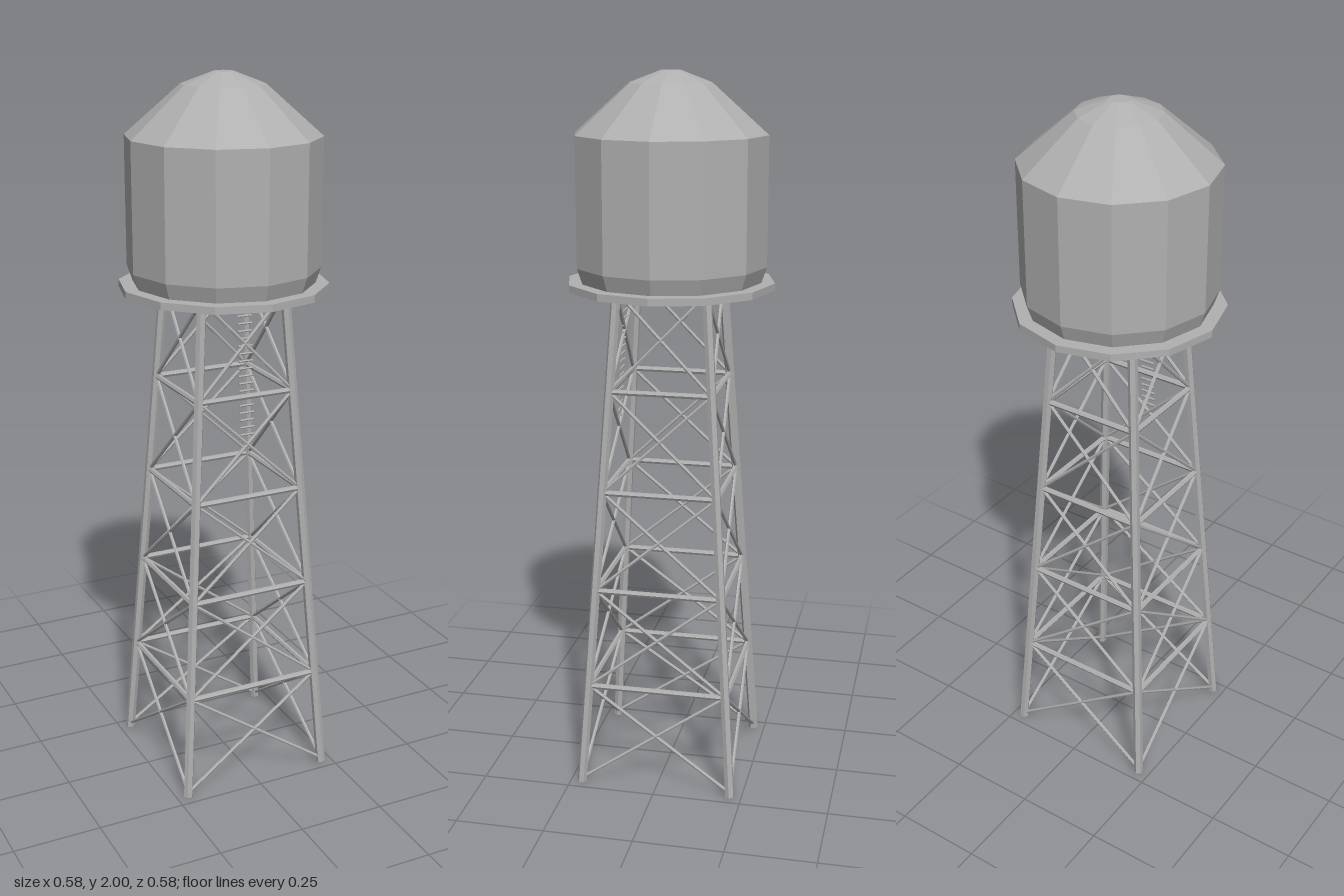
import * as THREE from 'three';

export function createModel() {
  const model = new THREE.Group();
  const steel = new THREE.MeshStandardMaterial({ color: 0xb0b0b0, flatShading: true });
  steel.name = 'grey steel';
  const V = (x, y, z) => new THREE.Vector3(x, y, z);

  function add(name, geometry, parent = model) {
    const mesh = new THREE.Mesh(geometry, steel);
    mesh.name = name;
    parent.add(mesh);
    return mesh;
  }

  // Straight bar between two points
  function bar(name, a, b, radius, sides, parent) {
    const dir = b.clone().sub(a);
    const mesh = add(name, new THREE.CylinderGeometry(radius, radius, dir.length(), sides), parent);
    mesh.position.copy(a).add(b).multiplyScalar(0.5);
    mesh.quaternion.setFromUnitVectors(V(0, 1, 0), dir.normalize());
  }

  // Twelve-sided tank with chamfered foot and two-pitch roof
  const profile = [
    [0, 1.435], [0.248, 1.435], [0.265, 1.485], [0.265, 1.835],
    [0.113, 1.968], [0.028, 2.0], [0, 2.0],
  ].map(([r, y]) => new THREE.Vector2(r, y));
  add('tank', new THREE.LatheGeometry(profile, 12));

  // Platform under the tank
  const platform = add('platform', new THREE.CylinderGeometry(0.288, 0.288, 0.02, 12));
  platform.position.y = 1.432;

  // Half-width of the tapering tower at a given height
  const base = 0.0015, top = 1.427;
  const half = (y) => THREE.MathUtils.lerp(0.217, 0.124, (y - base) / (top - base));

  // Four identical sides, each with one leg, cross bars and X braces
  const bays = 5;
  const level = (i) => (i === 0 ? 0.012 : 0.012 + (1.437 - 0.012) * i / bays);
  for (let s = 0; s < 4; s++) {
    const side = new THREE.Group();
    side.name = 'towerSide';
    side.rotation.y = s * Math.PI / 2;
    model.add(side);
    const corner = (sign, y) => V(sign * half(y), y, half(y));
    bar('leg', corner(1, base), corner(1, top), 0.0135, 6, side);
    for (let i = 0; i < bays; i++) {
      const y0 = level(i), y1 = Math.min(level(i + 1), top);
      bar('brace', corner(-1, y0), corner(1, y1), 0.005, 6, side);
      bar('brace', corner(1, y0), corner(-1, y1), 0.005, 6, side);
      if (i > 0) bar('crossBar', corner(-1, y0), corner(1, y0), 0.008, 6, side);
    }
  }

  // Ladder rungs hanging below the platform on the front face
  const ladder = new THREE.Group();
  ladder.name = 'ladder';
  model.add(ladder);
  for (let i = 0; i < 19; i++) {
    const y = 1.415 - i * 0.0205, z = half(y);
    bar('rung', V(-0.021, y, z), V(0.021, y, z), 0.003, 6, ladder);
  }
  return model;
}
